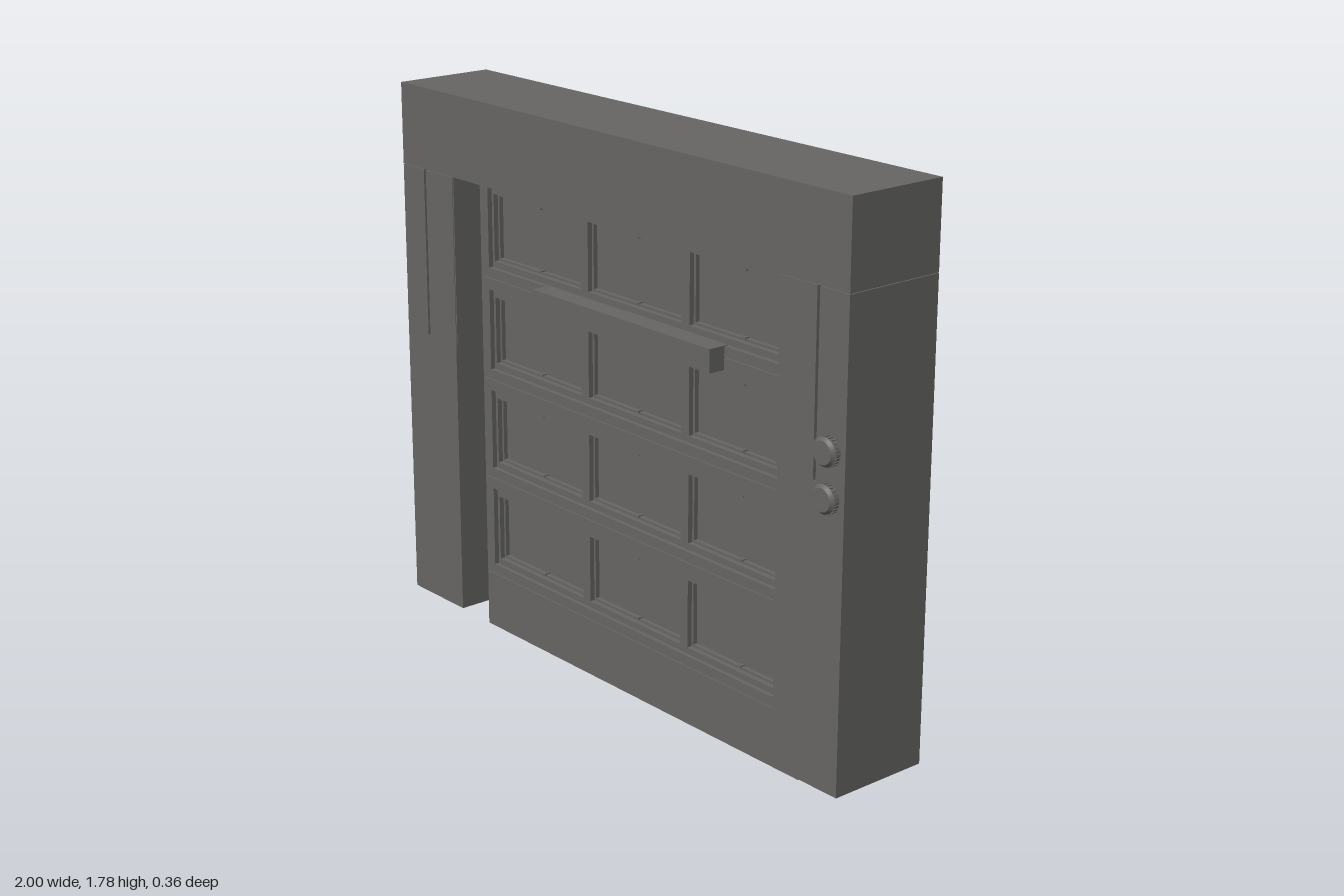
import * as THREE from 'three';

const grey = new THREE.MeshStandardMaterial({ color: 0x666564 });

function add(parent, name, geometry, x = 0, y = 0, z = 0) {
  const mesh = new THREE.Mesh(geometry, grey);
  mesh.name = name;
  mesh.position.set(x, y, z);
  parent.add(mesh);
  return mesh;
}

// Box given by its limits on each axis
function block(parent, name, x0, x1, y0, y1, z0, z1) {
  return add(parent, name, new THREE.BoxGeometry(x1 - x0, y1 - y0, z1 - z0),
    (x0 + x1) / 2, (y0 + y1) / 2, (z0 + z1) / 2);
}

function rect(Type, x0, x1, y0, y1) {
  return new Type([[x0, y0], [x1, y0], [x1, y1], [x0, y1]].map(p => new THREE.Vector2(...p)));
}

// Rectangular plate with rectangular openings
function frame(parent, name, outer, holes, z0, z1) {
  const shape = rect(THREE.Shape, ...outer);
  shape.holes = holes.map(h => rect(THREE.Path, ...h));
  return add(parent, name, new THREE.ExtrudeGeometry(shape, { depth: z1 - z0, bevelEnabled: false }), 0, 0, z0);
}

// One hinged section: rails, three recessed panes in front, one long recess behind
function doorSection(y0) {
  const g = new THREE.Group();
  g.name = 'doorSection';
  const bottom = y0 + 0.034, top = y0 + 0.298;
  frame(g, 'sectionRails', [-0.74, 0.74, y0 + 0.002, y0 + 0.333], [[-0.7, 0.7, bottom, top]], -0.07, 0.045);
  block(g, 'sectionCore', -0.7, 0.7, bottom, top, -0.05, 0.008);
  const panes = [[-0.678, -0.248], [-0.213, 0.213], [0.248, 0.678]];
  const p0 = bottom + 0.024, p1 = top - 0.024;
  frame(g, 'paneDivider', [-0.688, 0.688, bottom + 0.004, top - 0.004],
    panes.map(([a, b]) => [a, b, p0, p1]), 0.008, 0.038);
  for (const [a, b] of panes) {
    frame(g, 'paneTrim', [a, b, p0, p1], [[a + 0.008, b - 0.008, p0 + 0.008, p1 - 0.008]], 0.008, 0.022);
    // small retaining clips
    for (const y of [p0 + 0.008, p1 - 0.008]) {
      const x = (a + b) / 2;
      block(g, 'paneClip', x - 0.006, x + 0.006, y - 0.004, y + 0.004, 0.008, 0.025);
    }
  }
  return g;
}

// Side post with a narrow vertical groove in its upper front face
function sidePost(side) {
  const g = new THREE.Group();
  g.name = side > 0 ? 'leftPost' : 'rightPost';
  const c = side * 0.87, groove = side * 0.885;
  block(g, 'postBase', c - 0.13, c + 0.13, 0.08, 0.98, -0.18, 0.15);
  block(g, 'postBack', c - 0.13, c + 0.13, 0.98, 1.52, -0.18, 0.075);
  block(g, 'postFront', c - 0.13, groove - 0.005, 0.98, 1.52, 0.075, 0.15);
  block(g, 'postFront', groove + 0.005, c + 0.13, 0.98, 1.52, 0.075, 0.15);
  // thin guide strip on the inner face
  const inner = side * 0.738;
  block(g, 'guideStrip', inner - 0.002, inner + 0.002, 0.98, 1.52, 0.075, 0.148);
  return g;
}

// Round button with a ribbed edge
function button(y) {
  const g = new THREE.Group();
  g.name = 'controlButton';
  g.position.set(0.945, y, 0.15);
  const disc = (name, r0, r1, z0, z1) => {
    const geo = new THREE.CylinderGeometry(r1, r0, z1 - z0, 32);
    geo.rotateX(Math.PI / 2);
    add(g, name, geo, 0, 0, (z0 + z1) / 2);
  };
  disc('buttonNeck', 0.036, 0.036, 0, 0.008);
  disc('buttonBody', 0.042, 0.042, 0.007, 0.024);
  disc('buttonCap', 0.042, 0.034, 0.024, 0.034);
  for (let i = 0; i < 24; i++) {
    const a = i * Math.PI / 12;
    const rib = add(g, 'buttonRib', new THREE.BoxGeometry(0.006, 0.006, 0.016),
      0.042 * Math.cos(a), 0.042 * Math.sin(a), 0.016);
    rib.rotation.z = a;
  }
  return g;
}

export function createModel() {
  const model = new THREE.Group();
  model.name = 'sectionalDoor';

  // Surround
  block(model, 'header', -1, 1, 1.522, 1.78, -0.18, 0.15);
  model.add(sidePost(-1), sidePost(1));

  // Door leaf
  block(model, 'bottomBoard', -0.74, 0.74, 0, 0.186, -0.07, 0.045);
  for (let i = 0; i < 4; i++) model.add(doorSection(0.187 + i * 0.334));
  block(model, 'seamFiller', -0.738, 0.738, 0.18, 0.195, -0.06, 0.035);
  for (let i = 1; i < 4; i++) {
    const y = 0.187 + i * 0.334;
    block(model, 'seamFiller', -0.738, 0.738, y - 0.006, y + 0.006, -0.06, 0.035);
  }

  // Lifting handle and controls
  block(model, 'handle', -0.405, 0.405, 1.153, 1.225, 0.03, 0.1);
  model.add(button(1.083), button(0.95));
  return model;
}
